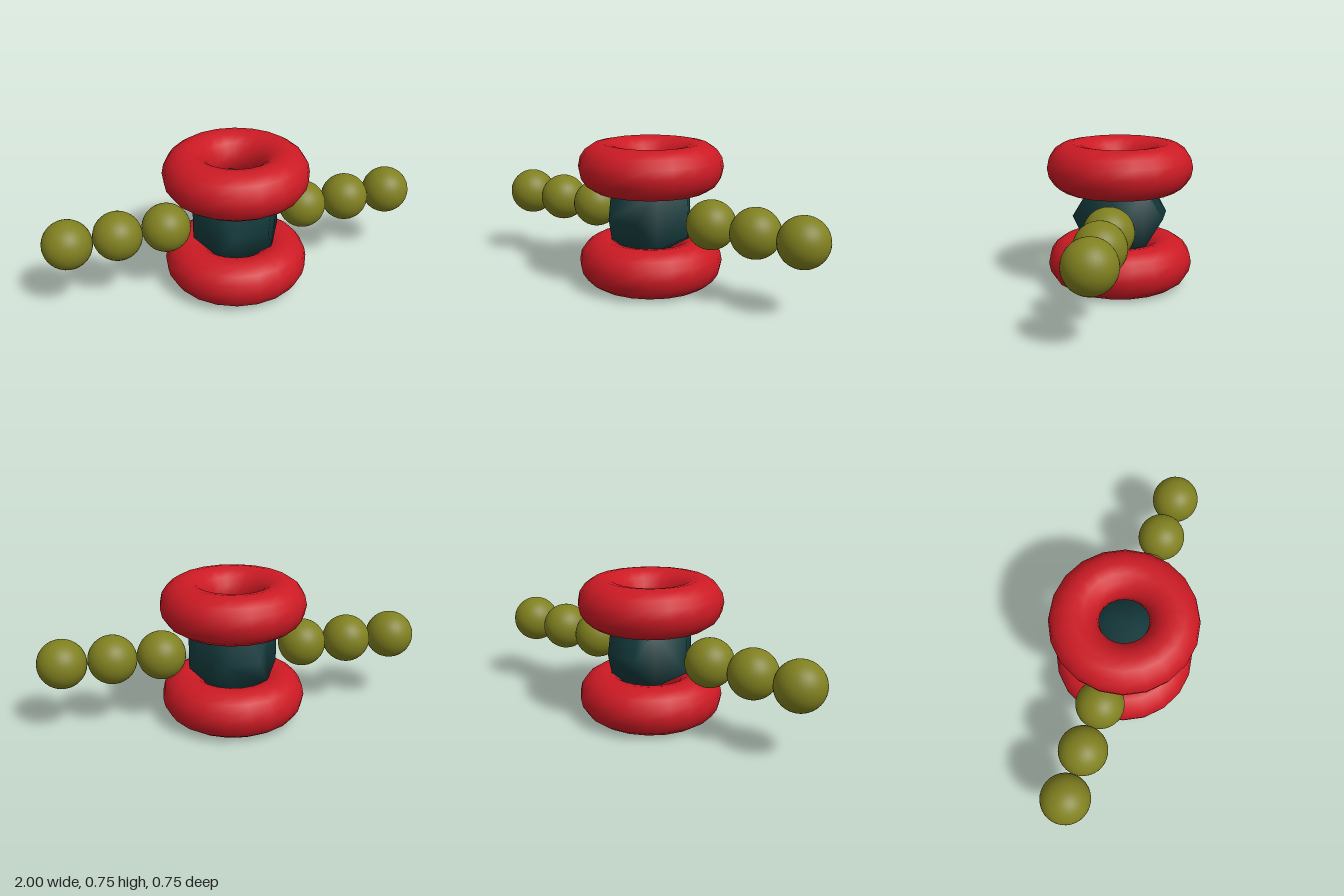
import * as THREE from 'three';
import { mergeVertices } from 'three/addons/utils/BufferGeometryUtils.js';

const R = 0.125; // tube and bead radius
const MID = 0.375; // height of the centre

export function createModel() {
  const model = new THREE.Group();
  const red = new THREE.MeshStandardMaterial({ color: 0xcc1a24 });
  const olive = new THREE.MeshStandardMaterial({ color: 0x808020 });
  const teal = new THREE.MeshStandardMaterial({ color: 0x143a3c });

  function add(name, geometry, material, x, y) {
    const mesh = new THREE.Mesh(geometry, material);
    mesh.name = name;
    mesh.position.set(x, y, 0);
    model.add(mesh);
  }

  // Smooth-shaded dodecahedron core
  let coreGeo = new THREE.DodecahedronGeometry(2 * R).rotateZ(Math.PI / 2);
  coreGeo.deleteAttribute('normal');
  coreGeo.deleteAttribute('uv');
  coreGeo = mergeVertices(coreGeo, 1e-4);
  coreGeo.computeVertexNormals();
  add('core', coreGeo, teal, 0, MID);

  // Rings above and below the core
  const ringGeo = new THREE.TorusGeometry(2 * R, R, 16, 20).rotateX(Math.PI / 2);
  add('lowerRing', ringGeo, red, 0, MID - 2 * R);
  add('upperRing', ringGeo, red, 0, MID + 2 * R);

  // Row of three touching beads on each side
  const beadGeo = new THREE.SphereGeometry(R, 32, 24);
  for (const [side, s] of [['left', 1], ['right', -1]]) {
    for (let i = 0; i < 3; i++) {
      add(`${side}Bead${i + 1}`, beadGeo, olive, s * (3 + 2 * i) * R, MID);
    }
  }
  return model;
}
